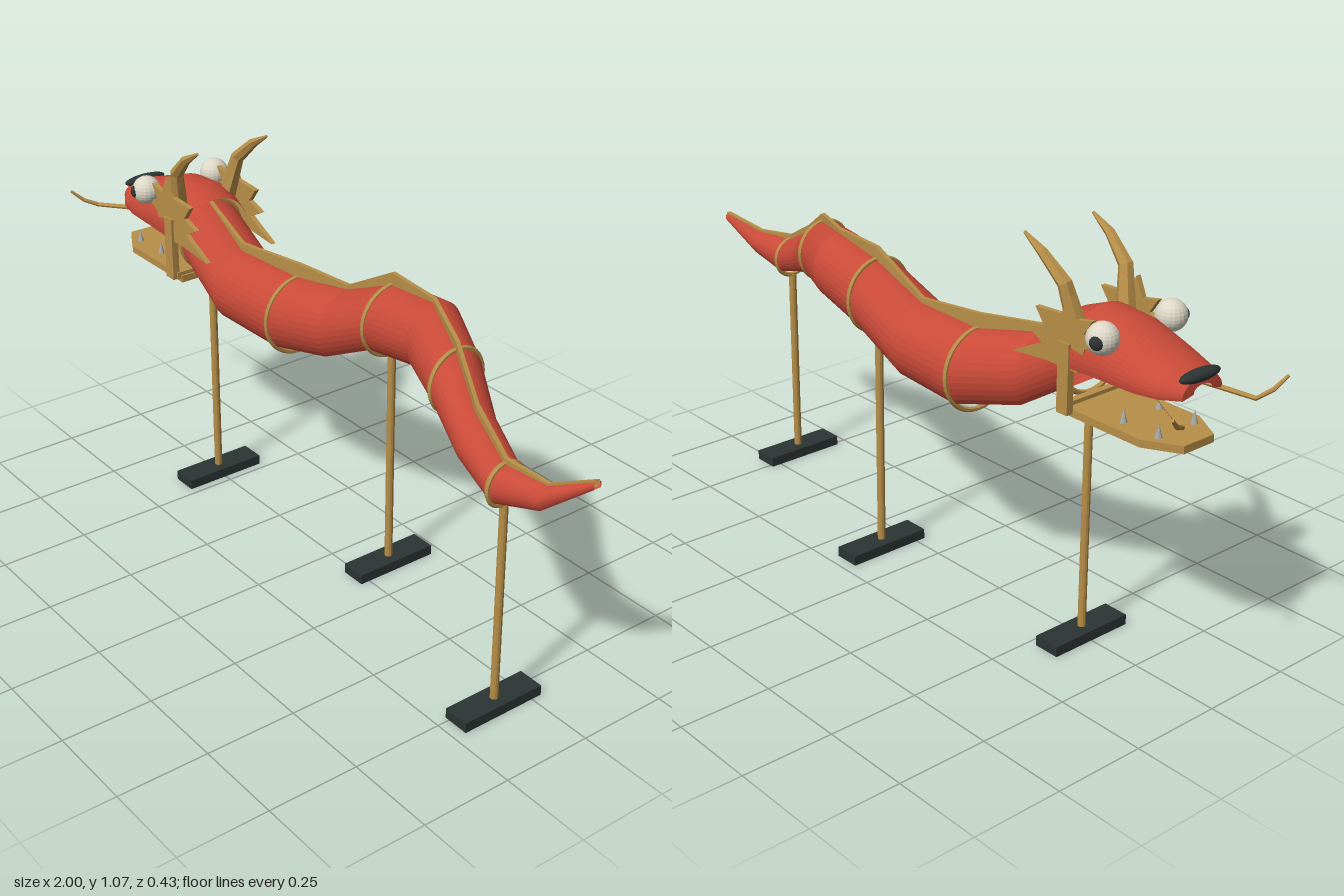
import * as THREE from 'three';

const mat = (color) => new THREE.MeshStandardMaterial({ color, flatShading: true, side: THREE.DoubleSide });
const V = (x, y, z) => new THREE.Vector3(x, y, z);

// Surface through a row of equally sized cross-sections (arrays of Vector3)
function loft(sections, closed) {
  const n = sections[0].length, pos = [], idx = [];
  sections.forEach((s) => s.forEach((p) => pos.push(p.x, p.y, p.z)));
  for (let i = 0; i < sections.length - 1; i++) {
    for (let j = 0; j < (closed ? n : n - 1); j++) {
      const a = i * n + j, b = i * n + (j + 1) % n;
      idx.push(a, b, b + n, a, b + n, a + n);
    }
  }
  const g = new THREE.BufferGeometry();
  g.setAttribute('position', new THREE.Float32BufferAttribute(pos, 3));
  g.setIndex(idx);
  g.computeVertexNormals();
  return g;
}

// Arch-shaped section in a plane of constant x, open at the bottom
function arch(x, cy, cz, ry, rz, droop, n = 28) {
  const pts = [];
  for (let i = 0; i <= n; i++) {
    const a = -droop + (Math.PI + 2 * droop) * i / n;
    pts.push(V(x, cy + Math.sin(a) * ry, cz + Math.cos(a) * rz));
  }
  return pts;
}

// Body stations: x, centre y, centre z, radius, crest height
const BODY = [
  [-0.56, 0.775, 0.00, 0.10, 0.875], [-0.40, 0.676, 0.00, 0.104, 0.80],
  [-0.22, 0.64, -0.055, 0.11, 0.79], [-0.04, 0.668, -0.085, 0.105, 0.785],
  [0.13, 0.748, -0.095, 0.098, 0.88], [0.31, 0.778, -0.08, 0.092, 0.88],
  [0.49, 0.755, 0.00, 0.082, 0.86], [0.64, 0.69, 0.065, 0.066, 0.775],
  [0.775, 0.637, 0.093, 0.055, 0.705], [0.90, 0.652, 0.075, 0.035, 0.692],
  [1.0, 0.717, 0.028, 0.012, 0.732],
];

export function createModel() {
  const group = new THREE.Group();
  const red = mat(0xc94a38), gold = mat(0xb88f48), dark = mat(0x2c3434), white = mat(0xdcd7c6), grey = mat(0xa8a8a8);
  const add = (name, geo, material, x = 0, y = 0, z = 0) => {
    const m = new THREE.Mesh(geo, material);
    m.name = name;
    m.position.set(x, y, z);
    group.add(m);
    return m;
  };
  // Tapered rod through points, with one radius per point
  const rod = (name, pts, radii, sides, material) => {
    const sections = pts.map((p, i) => {
      const t = pts[Math.min(i + 1, pts.length - 1)].clone().sub(pts[Math.max(i - 1, 0)]).normalize();
      const u = V(0, 0, 1).addScaledVector(t, -t.z).normalize(), w = t.clone().cross(u);
      return Array.from({ length: sides }, (_, k) => {
        const a = k / sides * Math.PI * 2;
        return p.clone().addScaledVector(u, Math.cos(a) * radii[i]).addScaledVector(w, Math.sin(a) * radii[i]);
      });
    });
    const cap = (p) => Array.from({ length: sides }, () => p.clone());
    add(name, loft([cap(pts[0]), ...sections, cap(pts[pts.length - 1])], true), material);
  };

  // Cloth body draped over the hoops
  add('bodyCloth', loft(BODY.map(([x, y, z, r]) => arch(x, y, z, r, r, 0.75))), red);

  // Crest ribbon along the back
  add('backCrest', loft(BODY.map(([x, y, z, r, top]) => {
    const low = y + r - 0.015, w = 0.006;
    return [V(x, low, z - w), V(x, top, z - w), V(x, top, z + w), V(x, low, z + w)];
  }), true), gold);

  // Hoops inside the cloth
  [0, 2, 4, 6, 8].forEach((i) => {
    const [x, y, z, r] = BODY[i];
    add('hoop', new THREE.TorusGeometry(r, 0.007, 6, 40), gold, x, y, z).rotation.y = Math.PI / 2;
  });

  // Poles on flat stands
  [0, 4, 8].forEach((i) => {
    const [x, y, z, r] = BODY[i], top = y - r;
    add('pole', new THREE.CylinderGeometry(0.011, 0.011, top - 0.02, 12), gold, x, (top + 0.02) / 2, z);
    add('stand', new THREE.BoxGeometry(0.074, 0.028, 0.245), dark, x, 0.014, z);
  });

  // Head shell: x, top, centre y, half width
  const HEAD = [
    [-0.912, 0.81, 0.795, 0.03], [-0.91, 0.828, 0.79, 0.065], [-0.86, 0.846, 0.79, 0.095],
    [-0.80, 0.868, 0.792, 0.108], [-0.70, 0.905, 0.80, 0.116], [-0.60, 0.913, 0.80, 0.12],
    [-0.53, 0.885, 0.79, 0.105],
  ];
  add('head', loft(HEAD.map(([x, top, cy, w]) => arch(x, cy, 0, top - cy, w, 0.18))), red);
  const nose = add('nose', new THREE.SphereGeometry(1, 20, 12), dark, -0.9, 0.828, 0);
  nose.scale.set(0.02, 0.015, 0.066);

  // Lower jaw board
  const jaw = new THREE.Shape([[-0.56, 0.1], [-0.82, 0.1], [-0.91, 0.05], [-0.91, -0.05], [-0.82, -0.1], [-0.56, -0.1]]
    .map(([x, y]) => new THREE.Vector2(x, y)));
  const jawGeo = new THREE.ExtrudeGeometry(jaw, { depth: 0.02, bevelEnabled: false });
  jawGeo.rotateX(-Math.PI / 2);
  add('lowerJaw', jawGeo, gold, 0, 0.65, 0);

  // Spiked cheek fin outline
  const fin = new THREE.Shape([
    [-0.63, 0.775], [-0.65, 0.84], [-0.69, 0.86], [-0.645, 0.875], [-0.672, 0.915], [-0.622, 0.905], [-0.60, 0.955],
    [-0.57, 0.905], [-0.485, 0.90], [-0.515, 0.86], [-0.46, 0.842], [-0.51, 0.815], [-0.41, 0.765], [-0.52, 0.775],
  ].map(([x, y]) => new THREE.Vector2(x, y)));

  // Paired head parts
  [['left', 1], ['right', -1]].forEach(([side, s]) => {
    add(side + 'Eye', new THREE.SphereGeometry(0.04, 20, 14), white, -0.705, 0.885, s * 0.113);
    add(side + 'Pupil', new THREE.SphereGeometry(0.021, 16, 10), dark, -0.713, 0.884, s * 0.136);
    add(side + 'CheekFin', new THREE.ExtrudeGeometry(fin, { depth: 0.014, bevelEnabled: false }), gold, 0, 0, s * 0.108 - 0.007);
    add(side + 'JawPost', new THREE.BoxGeometry(0.036, 0.18, 0.02), gold, -0.588, 0.75, s * 0.112);
    rod(side + 'Horn', [V(-0.59, 0.87, s * 0.08), V(-0.565, 0.975, s * 0.1), V(-0.50, 1.035, s * 0.11), V(-0.44, 1.07, s * 0.112)],
      [0.026, 0.019, 0.013, 0.004], 6, gold);
    rod(side + 'Whisker', [V(-0.84, 0.775, s * 0.07), V(-0.965, 0.757, s * 0.122), V(-0.983, 0.775, s * 0.16), V(-0.997, 0.805, s * 0.192)],
      [0.007, 0.006, 0.006, 0.004], 6, gold);
    [-0.84, -0.73].forEach((x) => add(side + 'Tooth', new THREE.ConeGeometry(0.01, 0.036, 8), grey, x, 0.686, s * 0.06));
  });
  // Hinge bar across the back of the jaw
  add('hingeBar', new THREE.BoxGeometry(0.02, 0.02, 0.22), gold, -0.575, 0.67, 0);

  return group;
}
